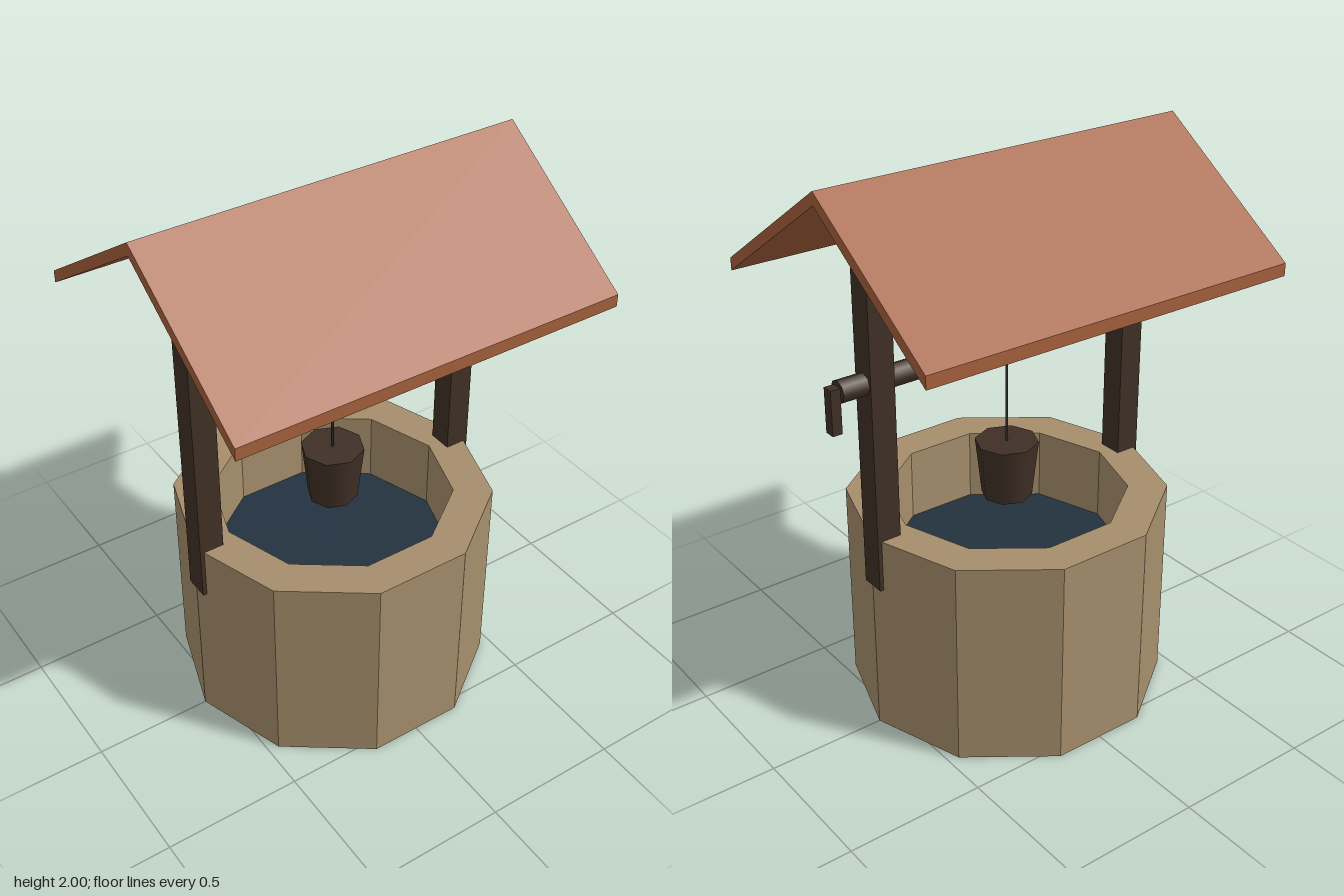
import * as THREE from 'three';

const SIDES = 10;
const paint = (name, color) => Object.assign(new THREE.MeshStandardMaterial({ color }), { name });

// Regular polygon with a corner on the x axis
const ringPoints = (r) => Array.from({ length: SIDES }, (_, i) => {
  const a = (i / SIDES) * Math.PI * 2;
  return new THREE.Vector2(r * Math.cos(a), r * Math.sin(a));
});

export function createModel() {
  const group = new THREE.Group();
  group.name = 'well';

  const stone = paint('stone', 0xa68e6c);
  const wood = paint('dark wood', 0x403026);
  const tile = paint('roof clay', 0xa5603c);
  const water = paint('water', 0x23323f);
  water.side = THREE.DoubleSide;
  const cord = paint('rope', 0x2c2d30);

  const add = (name, geometry, material, x = 0, y = 0, z = 0) => {
    const mesh = new THREE.Mesh(geometry, material);
    mesh.name = name;
    mesh.position.set(x, y, z);
    group.add(mesh);
    return mesh;
  };

  // Hollow ten-sided stone wall, open at both ends
  const wall = new THREE.Shape(ringPoints(0.57));
  wall.holes.push(new THREE.Path(ringPoints(0.43).reverse()));
  add('stoneWall',
    new THREE.ExtrudeGeometry(wall, { depth: 0.765, bevelEnabled: false }).rotateX(-Math.PI / 2), stone);

  // Water surface inside the wall
  add('water', new THREE.CircleGeometry(0.43, SIDES).rotateX(-Math.PI / 2), water, 0, 0.5);

  // Posts let into the wall on both sides
  for (const [name, s] of [['leftPost', 1], ['rightPost', -1]]) {
    add(name, new THREE.BoxGeometry(0.09, 1.14, 0.09), wood, s * 0.525, 1.145);
  }

  // Axle through the posts, with its crank on the left end
  add('axle', new THREE.CylinderGeometry(0.04, 0.04, 1.19, 8).rotateZ(Math.PI / 2), wood, 0.07, 1.335);
  add('crank', new THREE.BoxGeometry(0.036, 0.16, 0.04), wood, 0.684, 1.275);

  // Rope and hanging bucket
  add('rope', new THREE.CylinderGeometry(0.005, 0.005, 0.385, 6), cord, 0, 1.1425);
  add('bucket', new THREE.CylinderGeometry(0.113, 0.09, 0.21, 8), wood, 0, 0.848);

  // Gable roof: chevron section drawn in (z, y) and extruded along x
  const gable = new THREE.Shape([
    [-0.57, 1.575], [0, 1.955], [0.57, 1.575], [0.57, 1.62], [0, 2], [-0.57, 1.62],
  ].map(([u, v]) => new THREE.Vector2(u, v)));
  add('roof',
    new THREE.ExtrudeGeometry(gable, { depth: 1.424, bevelEnabled: false })
      .translate(0, 0, -0.712).rotateY(Math.PI / 2), tile);

  return group;
}
